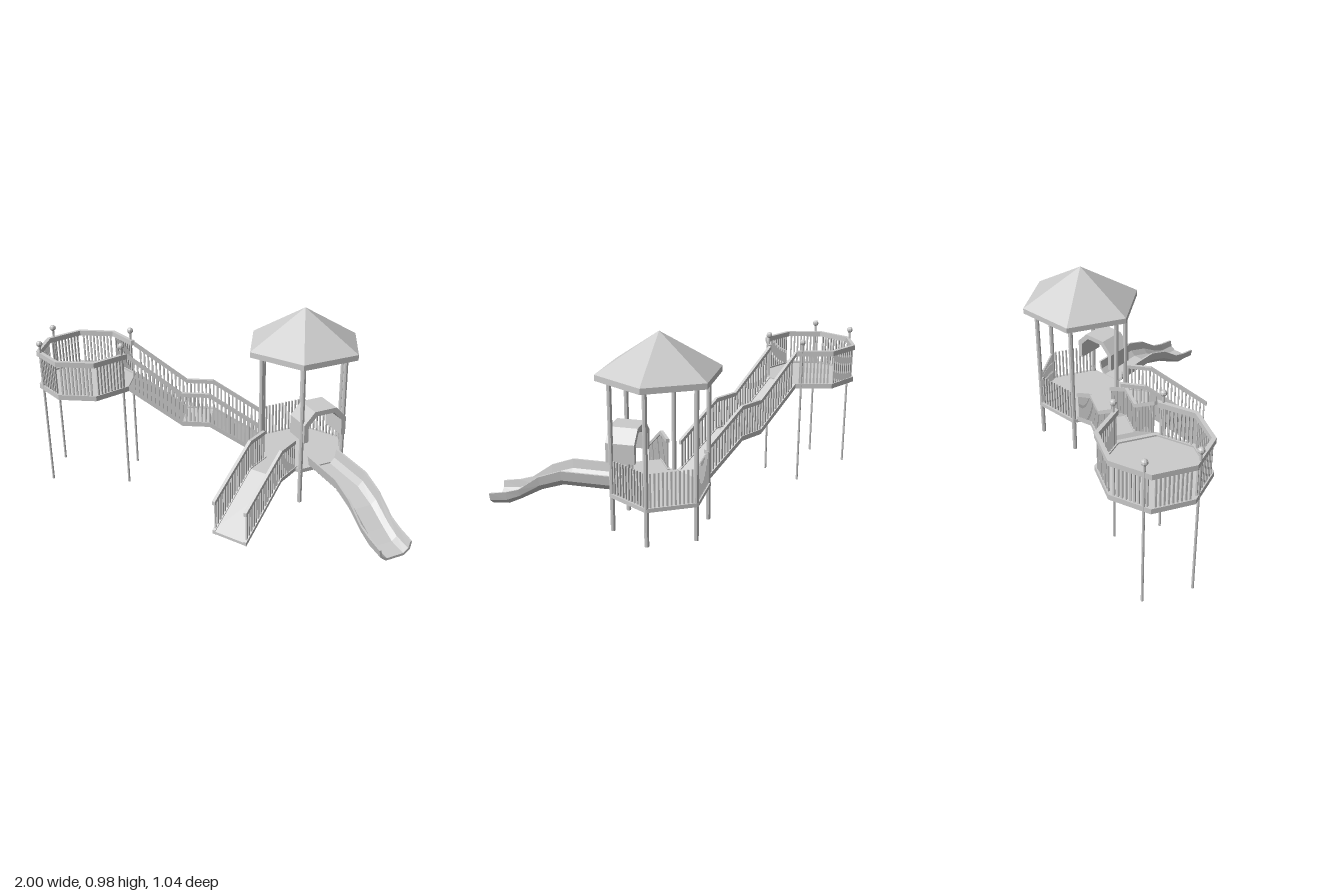
import * as THREE from 'three';

const grey = new THREE.MeshStandardMaterial({ color: 0xcccccc, flatShading: true, side: THREE.DoubleSide });

function add(parent, name, geometry, x = 0, y = 0, z = 0) {
  const mesh = new THREE.Mesh(geometry, grey);
  mesh.name = name;
  mesh.position.set(x, y, z);
  parent.add(mesh);
  return mesh;
}

function group(parent, name, x = 0, z = 0, turn = 0) {
  const g = new THREE.Group();
  g.name = name;
  g.position.set(x, 0, z);
  g.rotation.y = turn;
  parent.add(g);
  return g;
}

// Corners of a regular polygon in plan (x, z)
const corners = (sides, radius, start = 0) => Array.from({ length: sides }, (_, k) => {
  const a = start + (k * 2 * Math.PI) / sides;
  return new THREE.Vector2(radius * Math.cos(a), radius * Math.sin(a));
});

// Horizontal slab from a plan outline, between two heights
function slab(outline, bottom, top, hole) {
  const shape = new THREE.Shape(outline);
  if (hole) shape.holes.push(new THREE.Path(hole));
  return new THREE.ExtrudeGeometry(shape, { depth: top - bottom, bevelEnabled: false })
    .rotateX(Math.PI / 2).translate(0, top, 0);
}

// Strip following a side profile of [distance, height] points, running along +z
function strip(profile, thickness, width) {
  const upper = profile.map(([s, y]) => new THREE.Vector2(s, y));
  const lower = profile.map(([s, y]) => new THREE.Vector2(s, y - thickness)).reverse();
  return new THREE.ExtrudeGeometry(new THREE.Shape([...upper, ...lower]), { depth: width, bevelEnabled: false })
    .translate(0, 0, -width / 2).rotateY(-Math.PI / 2);
}

function heightAt(profile, s) {
  for (let i = 1; i < profile.length; i++) {
    const [s0, y0] = profile[i - 1], [s1, y1] = profile[i];
    if (s <= s1) return y0 + ((y1 - y0) * (s - s0)) / (s1 - s0);
  }
  return profile[profile.length - 1][1];
}

function picket(parent, x, z, bottom, top, turn = 0) {
  const p = add(parent, 'picket', new THREE.BoxGeometry(0.008, top - bottom, 0.008), x, (bottom + top) / 2, z);
  p.rotation.y = turn;
}

// Evenly spaced pickets along one plan edge
function picketEdge(parent, a, b, count, bottom, top) {
  for (let i = 0; i < count; i++) {
    const p = a.clone().lerp(b, (i + 1) / (count + 1));
    picket(parent, p.x, p.y, bottom, top, -Math.atan2(b.y - a.y, b.x - a.x));
  }
}

// Sloping walkway with a floor and a railing on both sides
function walkway(g, floor, rail, halfWidth, stringer) {
  add(g, 'walkwayFloor', strip(floor, 0.014, halfWidth * 2));
  for (const side of [-1, 1]) {
    const x = side * (halfWidth - 0.008);
    add(g, 'handrail', strip(rail, 0.02, 0.016), x);
    add(g, 'stringer', strip(floor.map(([s, y]) => [s, y + 0.005]), stringer, 0.016), x);
    const end = floor[floor.length - 1][0] - 0.01;
    for (let s = floor[0][0] + 0.025; s < end; s += 0.02) {
      picket(g, x, s, heightAt(floor, s), heightAt(rail, s) - 0.01);
    }
  }
}

// Thick U-shaped trough lofted through [distance, floorHeight, rimHeight] stations
function trough(stations) {
  const rings = stations.map(([s, low, rim]) => {
    const h = rim - low;
    const outer = [[-0.088, h], [-0.08, h * 0.4], [-0.05, 0], [0.05, 0], [0.08, h * 0.4], [0.088, h]];
    const inner = [[0.078, h], [0.07, h * 0.4 + 0.005], [0.045, 0.012],
      [-0.045, 0.012], [-0.07, h * 0.4 + 0.005], [-0.078, h]];
    return [...outer, ...inner].map(([x, y]) => [x, low + y, s]);
  });
  const n = 12, last = rings.length - 1, pos = [];
  const quad = (a, b, c, d) => pos.push(...a, ...b, ...c, ...a, ...c, ...d);
  for (let i = 0; i < last; i++) {
    for (let j = 0; j < n; j++) {
      const k = (j + 1) % n;
      quad(rings[i][j], rings[i][k], rings[i + 1][k], rings[i + 1][j]);
    }
  }
  for (let k = 0; k < 5; k++) {
    const a = rings[0], b = rings[last];
    quad(a[11 - k], a[10 - k], a[k + 1], a[k]);
    quad(b[k], b[k + 1], b[10 - k], b[11 - k]);
  }
  const geometry = new THREE.BufferGeometry();
  geometry.setAttribute('position', new THREE.Float32BufferAttribute(pos, 3));
  geometry.computeVertexNormals();
  return geometry;
}

export function createModel() {
  const model = new THREE.Group();
  model.name = 'playground';
  const tx = 0.21, tz = -0.26; // tower centre
  const ox = -0.755, oz = 0.275; // lookout centre

  // Hexagonal tower with posts, floor and back railing
  const tower = group(model, 'tower', tx, tz);
  const hex = corners(6, 0.235);
  for (const p of hex) {
    add(tower, 'towerPost', new THREE.CylinderGeometry(0.0115, 0.0115, 0.76, 8), p.x, 0.4, p.y);
  }
  add(tower, 'towerFloor', slab(corners(6, 0.248), 0.193, 0.213));
  for (const k of [3, 4, 5]) picketEdge(tower, hex[k], hex[(k + 1) % 6], 11, 0.21, 0.378);

  // Hollow pyramid roof with an eave band
  add(tower, 'roofEave', slab(corners(6, 0.3), 0.765, 0.793, corners(6, 0.282)));
  add(tower, 'roof', new THREE.CylinderGeometry(0, 0.3, 0.182, 6, 1, true).rotateY(Math.PI / 6), 0, 0.884, 0);

  // Front ramp
  const ramp = group(model, 'ramp', tx, tz);
  walkway(ramp, [[0.2, 0.213], [0.35, 0.213], [0.66, 0.014]],
    [[0.22, 0.37], [0.35, 0.37], [0.66, 0.18]], 0.0975, 0.02);

  // Slide and the arched hood over its entrance
  const slide = group(model, 'slide', tx, tz, Math.PI / 3);
  add(slide, 'slideTrough', trough([
    [0.22, 0.198, 0.28], [0.475, 0.198, 0.28], [0.59, 0.16, 0.238],
    [0.7, 0.1, 0.16], [0.77, 0.066, 0.138], [0.86, 0.058, 0.122]]));
  const arch = [[-0.118, 0.365], [-0.118, 0.46], [-0.06, 0.522], [0.06, 0.522], [0.118, 0.46], [0.118, 0.365],
    [0.094, 0.365], [0.094, 0.448], [0.048, 0.497], [-0.048, 0.497], [-0.094, 0.448], [-0.094, 0.365]];
  add(slide, 'slideHood', new THREE.ExtrudeGeometry(
    new THREE.Shape(arch.map(([x, y]) => new THREE.Vector2(x, y))), { depth: 0.14, bevelEnabled: false }), 0, 0, 0.09);

  // Bridge climbing from the tower to the lookout
  const dx = ox - tx, dz = oz - tz;
  const bridge = group(model, 'bridge', tx, tz, Math.atan2(dx, dz));
  walkway(bridge, [[0.2, 0.213], [0.467, 0.372], [0.606, 0.372], [0.875, 0.558]],
    [[0.21, 0.372], [0.467, 0.535], [0.606, 0.535], [0.875, 0.733]], 0.0955, 0.025);

  // Octagonal lookout, open towards the bridge
  const lookout = group(model, 'lookout', ox, oz);
  const facing = Math.atan2(-dz, -dx), start = facing + Math.PI / 8;
  const outer = corners(8, 0.249, start), inner = corners(8, 0.229, start), mid = corners(8, 0.239, start);
  add(lookout, 'lookoutFloor', slab(corners(8, 0.24, start), 0.54, 0.555));
  add(lookout, 'lookoutRim', slab(outer, 0.537, 0.563, inner));
  add(lookout, 'lookoutRail', slab([...outer, ...inner.slice().reverse()], 0.712, 0.738));
  for (let k = 0; k < 7; k++) picketEdge(lookout, mid[k], mid[k + 1], 9, 0.56, 0.714);

  // Tall lookout posts with ball finials
  for (const a of [-0.5, 0.5, Math.PI - 0.52, Math.PI + 0.52]) {
    const x = 0.234 * Math.cos(facing + a), z = 0.234 * Math.sin(facing + a);
    add(lookout, 'lookoutPost', new THREE.CylinderGeometry(0.006, 0.006, 0.755, 8), x, 0.3975, z);
    add(lookout, 'finial', new THREE.SphereGeometry(0.016, 8, 6), x, 0.785, z);
  }
  return model;
}
